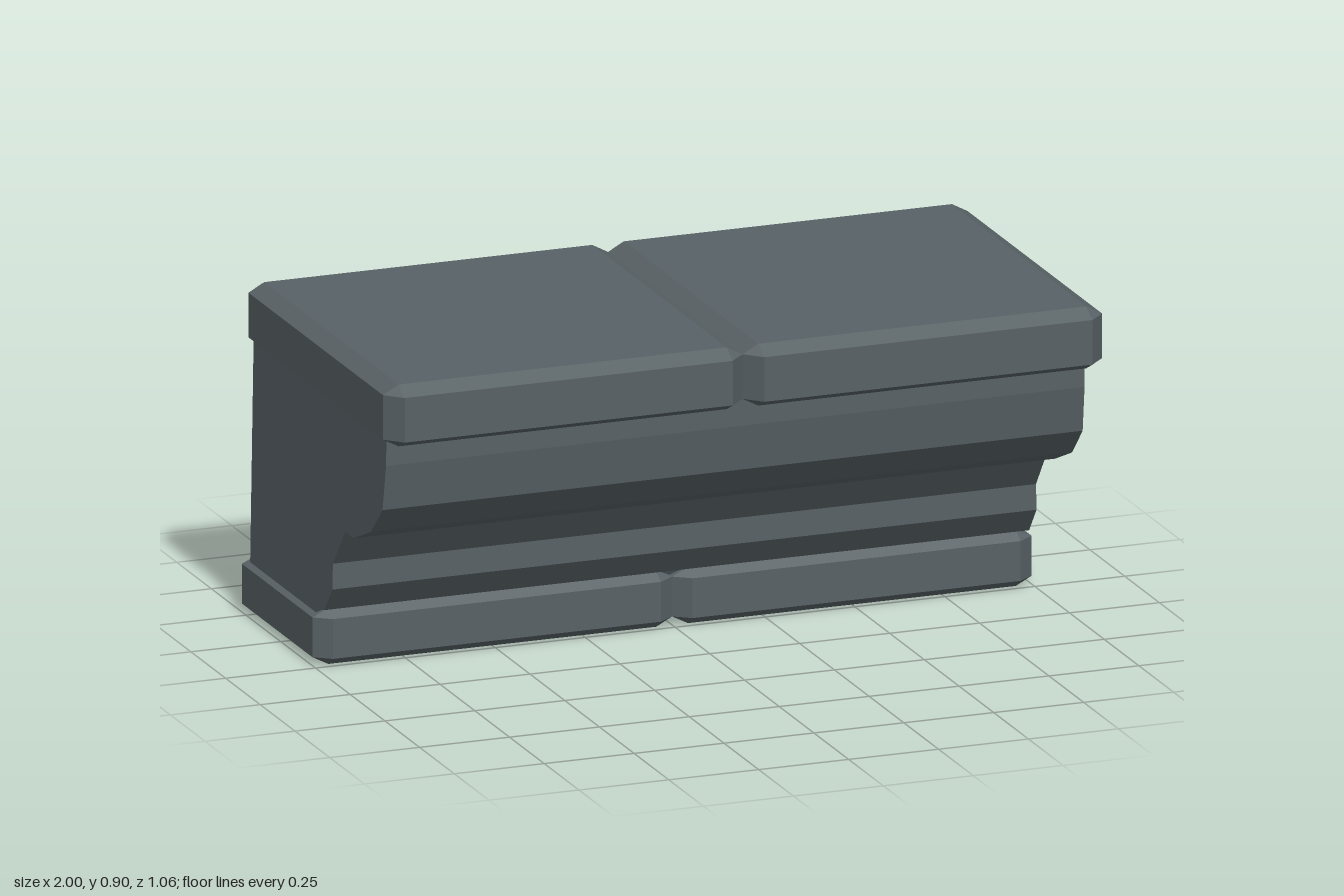
import * as THREE from 'three';
import { ConvexGeometry } from 'three/addons/geometries/ConvexGeometry.js';

const stone = new THREE.MeshStandardMaterial({ color: 0x586165 });
stone.name = 'slateStone';

// Bevelled block: full outline between two heights, inset rectangle at top and bottom
function slab(name, x0, x1, zBack, zFront, heights, cx, cz, cBack) {
  const [yBottom, yLow, yHigh, yTop] = heights;
  const points = [];
  const add = (x, y, z) => points.push(new THREE.Vector3(x, y, z));
  for (const [yCap, ySide] of [[yBottom, yLow], [yTop, yHigh]]) {
    for (const [x, xIn] of [[x0, x0 + cx], [x1, x1 - cx]]) {
      for (const [z, zIn] of [[zBack, zBack + cBack], [zFront, zFront - cz]]) {
        add(xIn, yCap, zIn);
        add(x, ySide, zIn);
        if (z !== zIn) add(xIn, ySide, z);
      }
    }
  }
  const mesh = new THREE.Mesh(new ConvexGeometry(points), stone);
  mesh.name = name;
  return mesh;
}

// Moulded corbel profile as (z, y), extruded across x
function moulding() {
  const profile = [
    [-0.512, 0.1], [-0.06, 0.1], [-0.03, 0.152], [0.02, 0.163], [0.077, 0.235],
    [0.077, 0.305], [0.163, 0.417], [0.22, 0.415], [0.345, 0.468],
    [0.425, 0.55], [0.445, 0.675], [0.445, 0.77], [-0.512, 0.77],
  ];
  const shape = new THREE.Shape(profile.map(([z, y]) => new THREE.Vector2(z, y)));
  const geometry = new THREE.ExtrudeGeometry(shape, { depth: 1, bevelEnabled: false });
  geometry.rotateY(-Math.PI / 2);
  // The ends flare slightly towards the bottom
  const p = geometry.attributes.position;
  for (let i = 0; i < p.count; i++) {
    const low = (0.77 - p.getY(i)) / 0.63;
    p.setX(i, p.getX(i) < -0.5 ? -0.974 - 0.01 * low : 0.965 + 0.012 * low);
  }
  geometry.computeVertexNormals();
  const mesh = new THREE.Mesh(geometry, stone);
  mesh.name = 'mouldedBody';
  return mesh;
}

export function createModel() {
  const group = new THREE.Group();
  group.name = 'stoneCornice';
  group.add(moulding());
  for (const [side, x0, x1] of [['right', -1, 0], ['left', 0, 1]]) {
    // Cap slabs are bevelled all round, base slabs have a flat back
    group.add(slab(`${side}CapSlab`, x0, x1, -0.528, 0.53, [0.738, 0.761, 0.882, 0.906], 0.044, 0.045, 0.045));
    group.add(slab(`${side}BaseSlab`, x0, x1, -0.53, 0.011, [0.002, 0.025, 0.133, 0.154], 0.044, 0.033, 0));
  }
  return group;
}
